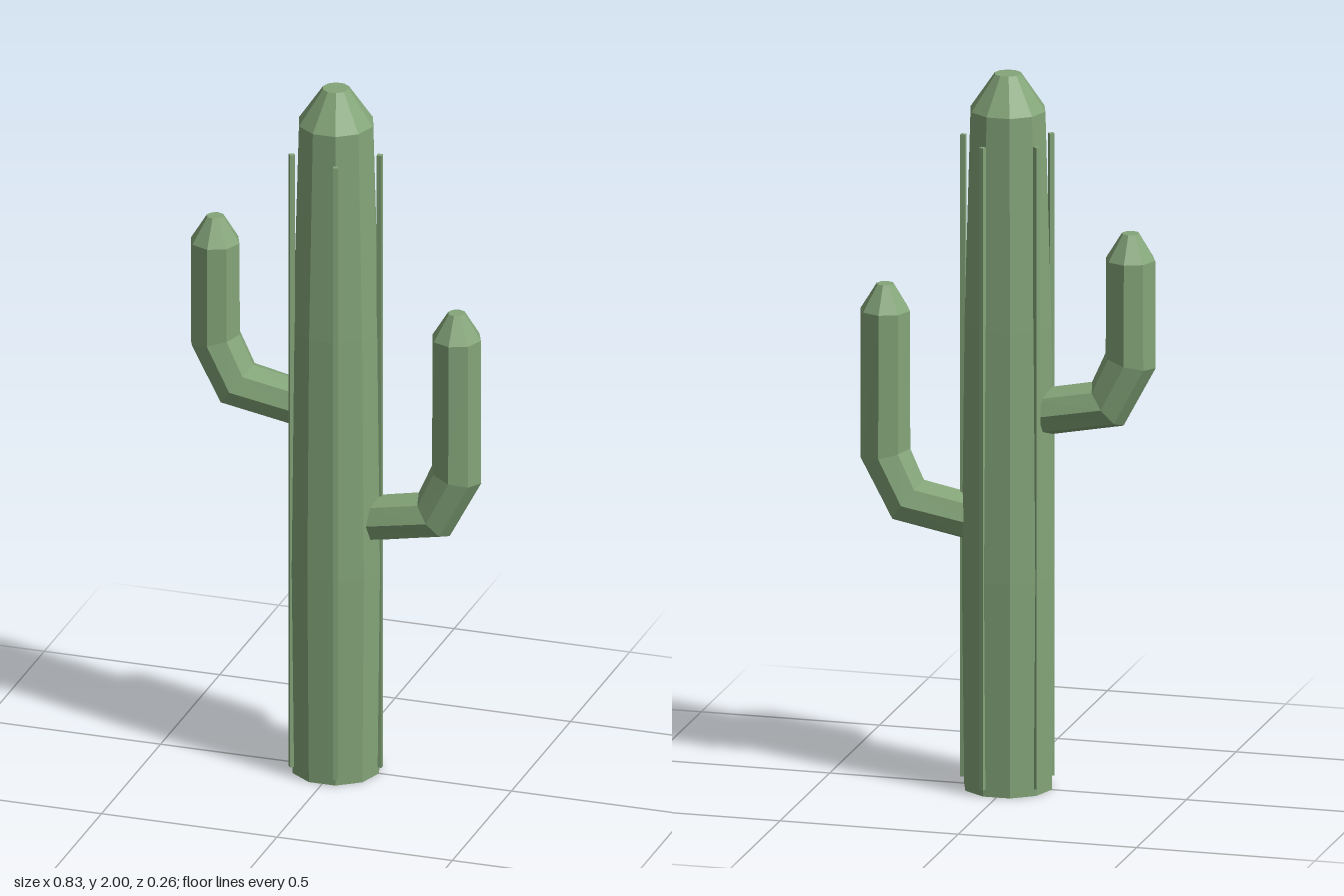
import * as THREE from 'three';

const green = new THREE.MeshStandardMaterial({ color: 0x84a579 });
green.name = 'cactusGreen';

// Split the faces so every facet is flat
function faceted(geometry) {
  const g = geometry.toNonIndexed();
  g.computeVertexNormals();
  return g;
}

function addPart(parent, name, geometry) {
  const mesh = new THREE.Mesh(geometry, green);
  mesh.name = name;
  parent.add(mesh);
  return mesh;
}

// Tube through rings [x, y, radius] in the x-y plane, each ring mitred at its bend
function bentTube(rings, sides) {
  const pts = rings.map(([x, y]) => new THREE.Vector2(x, y));
  const position = [];
  const index = [];
  rings.forEach(([x, y, r], i) => {
    const t = new THREE.Vector2();
    if (i > 0) t.add(pts[i].clone().sub(pts[i - 1]).normalize());
    if (i < pts.length - 1) t.add(pts[i + 1].clone().sub(pts[i]).normalize());
    t.normalize();
    for (let k = 0; k < sides; k++) {
      const a = (k / sides) * Math.PI * 2;
      const c = Math.cos(a) * r;
      position.push(x + t.y * c, y - t.x * c, Math.sin(a) * r);
      if (i === 0) continue;
      const n = (k + 1) % sides;
      const low = (i - 1) * sides;
      const up = i * sides;
      index.push(low + k, up + k, low + n, low + n, up + k, up + n);
    }
  });
  const g = new THREE.BufferGeometry();
  g.setAttribute('position', new THREE.Float32BufferAttribute(position, 3));
  g.setIndex(index);
  return faceted(g);
}

// Arm leaving the trunk on one side (+1 or -1), turning upwards to a blunt tip
function armGeometry(side, rootY, shoulderY) {
  const x = side * 0.344;
  return bentTube([
    [side * 0.09, rootY, 0],
    [side * 0.09, rootY, 0.065],
    [side * 0.28, rootY + 0.037, 0.073],
    [x, rootY + 0.163, 0.072],
    [x, shoulderY, 0.069],
    [x, shoulderY + 0.073, 0.024],
    [x, shoulderY + 0.073, 0],
  ], 8);
}

export function createModel() {
  const cactus = new THREE.Group();
  cactus.name = 'cactus';

  // Ten-sided trunk, slightly swollen low down, with a blunt crown
  const profile = [[0, 0], [0.123, 0], [0.13, 0.6], [0.122, 1.3], [0.105, 1.9], [0.037, 2], [0, 2]]
    .map(([r, y]) => new THREE.Vector2(r, y));
  addPart(cactus, 'trunk', faceted(new THREE.LatheGeometry(profile, 10, Math.PI / 2)));

  // Arms
  addPart(cactus, 'leftArm', armGeometry(1, 0.747, 1.312));
  addPart(cactus, 'rightArm', armGeometry(-1, 1.057, 1.504));

  // Five thin upright ribs on alternate corners
  const ribs = new THREE.Group();
  ribs.name = 'ribs';
  const ribGeometry = new THREE.BoxGeometry(0.014, 1.8, 0.014);
  for (let i = 0; i < 5; i++) {
    const a = (i / 5) * Math.PI * 2;
    const rib = addPart(ribs, 'rib', ribGeometry);
    rib.position.set(Math.cos(a) * 0.125, 0.92, Math.sin(a) * 0.125);
    rib.rotation.y = -a;
  }
  cactus.add(ribs);

  return cactus;
}
